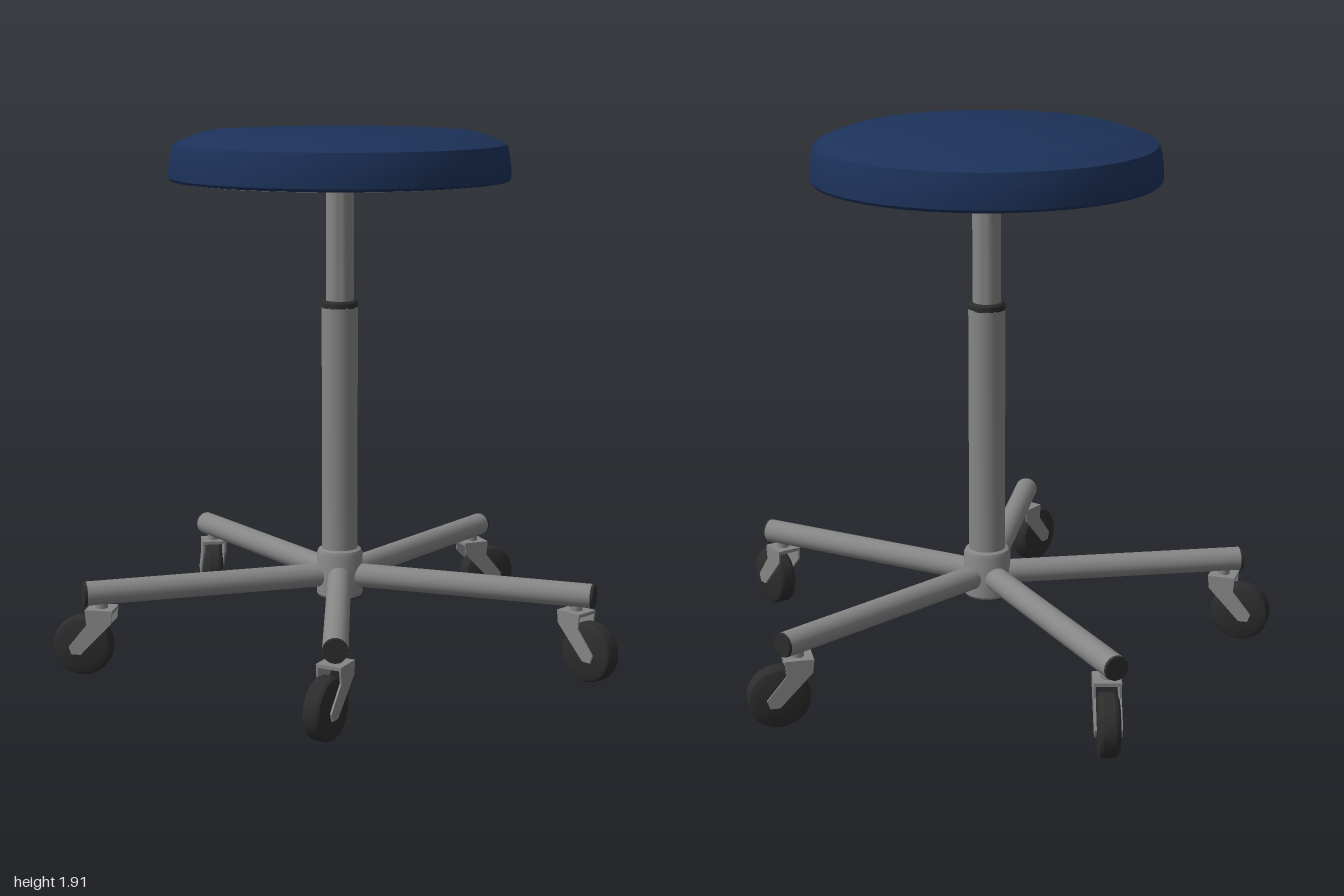
import * as THREE from 'three';
import { toCreasedNormals } from 'three/addons/utils/BufferGeometryUtils.js';

const material = (name, color) => {
  const m = new THREE.MeshStandardMaterial({ color });
  m.name = name;
  return m;
};

export function createModel() {
  const blue = material('blue upholstery', 0x1c325a);
  const metal = material('grey metal', 0x868686);
  const black = material('black rubber', 0x2d2d2d);
  const board = material('grey seat board', 0x7a7a7a);

  const model = new THREE.Group();
  model.name = 'rollingStool';
  const stool = new THREE.Group();
  stool.name = 'stool';
  stool.position.set(0.014, 0, -0.083);
  model.add(stool);

  const add = (parent, name, geometry, mat, x = 0, y = 0, z = 0) => {
    const mesh = new THREE.Mesh(geometry, mat);
    mesh.name = name;
    mesh.position.set(x, y, z);
    parent.add(mesh);
    return mesh;
  };
  // Turned part from [radius, height] pairs, listed bottom to top
  const turned = (points, segments = 32) => toCreasedNormals(
    new THREE.LatheGeometry(points.map(([r, y]) => new THREE.Vector2(r, y)), segments), 0.5);
  const rod = (radius, bottom, top) => turned([[0, bottom], [radius, bottom], [radius, top], [0, top]]);

  // Seat
  add(stool, 'seatCushion', turned([
    [0.58, 1.743], [0.6, 1.743], [0.607, 1.753], [0.606, 1.79], [0.6, 1.835], [0.59, 1.87],
    [0.582, 1.872], [0.54, 1.892], [0.485, 1.91], [0, 1.911],
  ], 48), blue);
  add(stool, 'seatBoard', turned([[0, 1.741], [0.588, 1.741], [0.588, 1.75]], 48), board);
  add(stool, 'mountingPlate', rod(0.125, 1.732, 1.745), metal);

  // Gas lift column
  add(stool, 'upperCollar', turned([[0, 1.7], [0.05, 1.7], [0.058, 1.712], [0.058, 1.734], [0, 1.734]]), black);
  add(stool, 'upperColumn', rod(0.05, 1.28, 1.71), metal);
  add(stool, 'columnRing', turned([[0, 1.285], [0.065, 1.285], [0.065, 1.303], [0.059, 1.311], [0, 1.311]]), black);
  add(stool, 'lowerColumn', rod(0.065, 0.25, 1.288), metal);
  add(stool, 'hub', turned([[0, 0.222], [0.078, 0.222], [0.084, 0.23], [0.084, 0.38], [0.078, 0.394], [0.064, 0.4]]), metal);
  add(stool, 'hubCap', rod(0.076, 0.217, 0.224), black);

  // Shared caster shapes: +x is the trailing direction
  const outline = [[-0.05, 0.245], [0.05, 0.245], [0.045, 0.19], [0.112, 0.108],
    [0.102, 0.08], [0.068, 0.08], [-0.045, 0.198]];
  const forkSide = new THREE.ExtrudeGeometry(
    new THREE.Shape(outline.map(([x, y]) => new THREE.Vector2(x, y))), { depth: 0.007, bevelEnabled: false });
  const wheelShape = turned([[0, -0.037], [0.085, -0.037], [0.101, -0.03], [0.107, -0.02],
    [0.107, 0.02], [0.101, 0.03], [0.085, 0.037], [0, 0.037]], 24);
  wheelShape.rotateX(Math.PI / 2);
  const forkTop = new THREE.BoxGeometry(0.1, 0.012, 0.09);
  const swivelPin = new THREE.CylinderGeometry(0.022, 0.022, 0.05, 16);
  const armTube = new THREE.CylinderGeometry(0.043, 0.043, 0.9, 24).rotateZ(-Math.PI / 2);
  const endCap = new THREE.CylinderGeometry(0.041, 0.043, 0.012, 24).rotateZ(-Math.PI / 2);

  // Arm direction and caster swivel, in degrees from +x towards +z
  const legs = [
    { arm: 90, swivel: 117 },
    { arm: 18, swivel: 45 },
    { arm: -54, swivel: -23 },
    { arm: -126, swivel: -101 },
    { arm: 162, swivel: 188 },
  ];
  legs.forEach(({ arm, swivel }, i) => {
    const leg = new THREE.Group();
    leg.name = `leg${i + 1}`;
    leg.rotation.y = -THREE.MathUtils.degToRad(arm);
    stool.add(leg);
    add(leg, 'armTube', armTube, metal, 0.49, 0.3, 0);
    add(leg, 'armEndCap', endCap, black, 0.944, 0.3, 0);

    const caster = new THREE.Group();
    caster.name = 'caster';
    caster.position.x = 0.885;
    caster.rotation.y = -THREE.MathUtils.degToRad(swivel - arm);
    leg.add(caster);
    add(caster, 'swivelPin', swivelPin, metal, 0, 0.26, 0);
    add(caster, 'forkTop', forkTop, metal, 0, 0.239, 0);
    add(caster, 'forkSideLeft', forkSide, metal, 0, 0, 0.039);
    add(caster, 'forkSideRight', forkSide, metal, 0, 0, -0.046);
    add(caster, 'wheel', wheelShape, black, 0.067, 0.107, 0);
  });

  return model;
}
